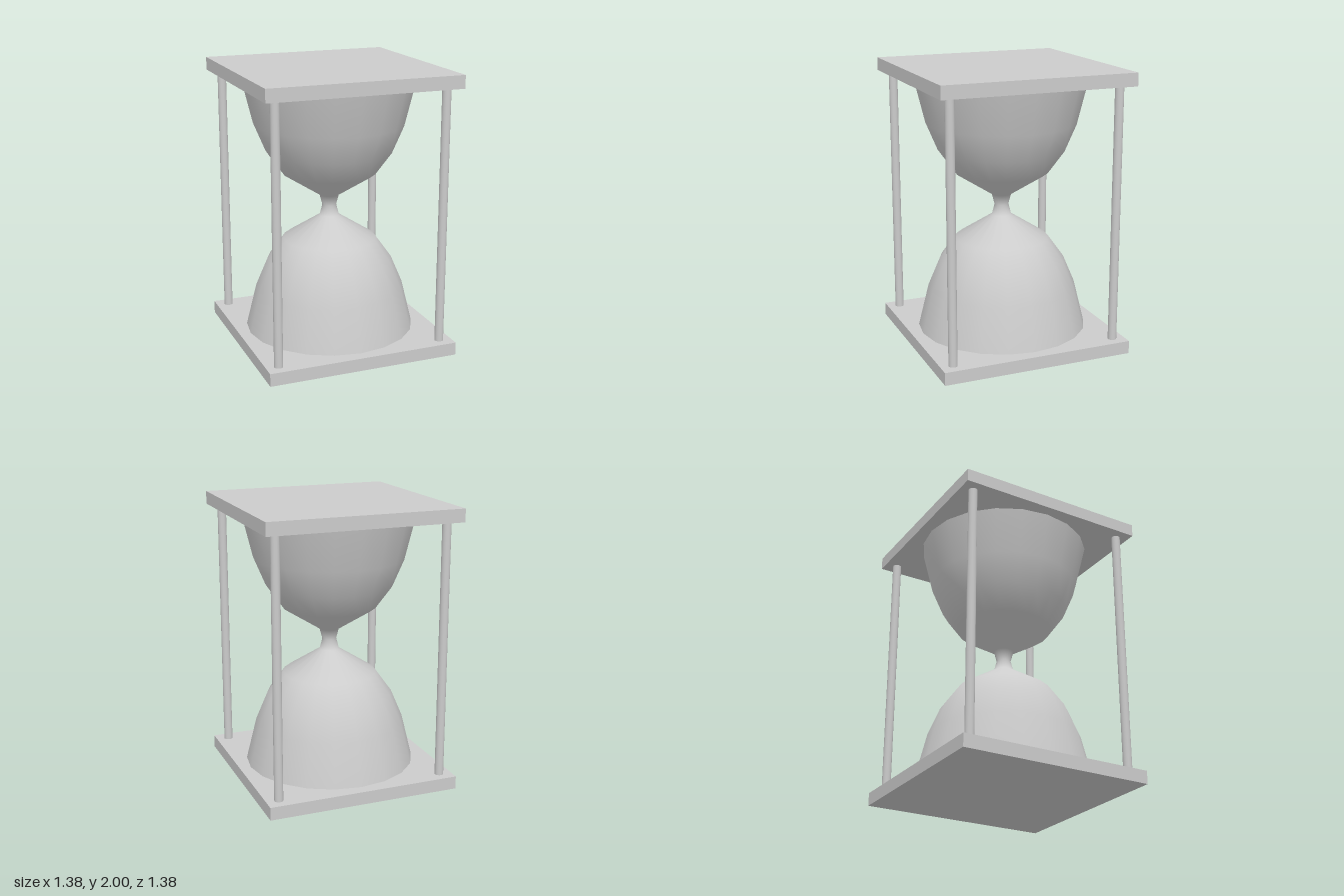
import * as THREE from 'three';

export function createModel() {
  const model = new THREE.Group();
  model.name = 'hourglass';
  const material = new THREE.MeshStandardMaterial({ color: 0xcccccc });
  const glassMaterial = new THREE.MeshStandardMaterial({ color: 0xcccccc, side: THREE.DoubleSide });

  const add = (name, geometry, mat, x, y, z) => {
    const mesh = new THREE.Mesh(geometry, mat);
    mesh.name = name;
    mesh.position.set(x, y, z);
    model.add(mesh);
  };

  // Square end plates
  const size = 1.382, thick = 0.092;
  const plate = new THREE.BoxGeometry(size, thick, size);
  add('bottomPlate', plate, material, 0, thick / 2, 0);
  add('topPlate', plate, material, 0, 2 - thick / 2, 0);

  // Four corner posts
  const post = new THREE.CylinderGeometry(0.031, 0.031, 2 - 2 * thick, 16, 1, true);
  for (const x of [-1, 1]) {
    for (const z of [-1, 1]) {
      const name = (z > 0 ? 'front' : 'back') + (x > 0 ? 'Left' : 'Right') + 'Post';
      add(name, post, material, x * 0.602, 1, z * 0.602);
    }
  }

  // Glass: half profile (radius, height from the waist), mirrored about the waist
  const half = [[0.07, 0.075], [0.335, 0.243], [0.452, 0.405], [0.535, 0.602], [0.61, 1 - thick]];
  const profile = [
    ...half.map(([r, h]) => new THREE.Vector2(r, -h)).reverse(),
    new THREE.Vector2(0.05, 0),
    ...half.map(([r, h]) => new THREE.Vector2(r, h)),
  ];
  add('glassBulbs', new THREE.LatheGeometry(profile, 20), glassMaterial, 0, 1, 0);

  return model;
}
